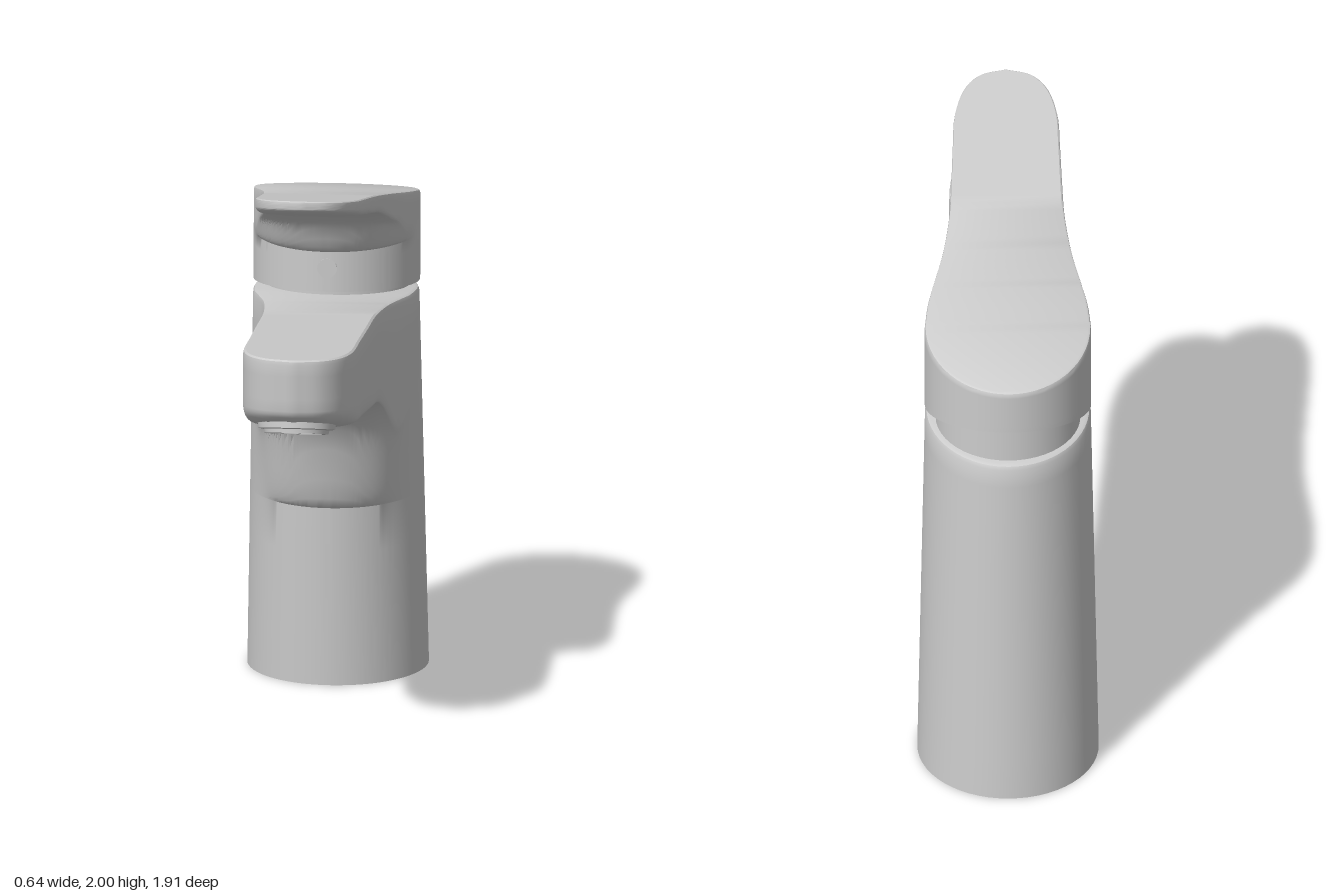
import * as THREE from 'three';
import { toCreasedNormals } from 'three/addons/utils/BufferGeometryUtils.js';

const grey = new THREE.MeshStandardMaterial({ color: 0xcccccc });
const { lerp, smoothstep, clamp, degToRad } = THREE.MathUtils;

function part(parent, name, geometry, x = 0, y = 0, z = 0) {
  const mesh = new THREE.Mesh(geometry, grey);
  mesh.name = name;
  mesh.position.set(x, y, z);
  parent.add(mesh);
  return mesh;
}

// Elliptical column whose front flows through a fillet into a cantilevered arm.
// plan rows: [angle on the column (0 = front), x, z of the arm outline]
function columnWithArm({ ellipse, plan, bottom, top, filletY, filletR, under, edge, bevel, rise, topY }) {
  const onColumn = (angle, y) => {
    const e = ellipse(y);
    return [e.rx * Math.sin(angle), e.z + e.rz * Math.cos(angle)];
  };
  const curve = new THREE.CatmullRomCurve3(plan.map(p => new THREE.Vector3(degToRad(p[0]), p[1], p[2])));

  // Half of the outline: arm side first, then the back of the column
  const half = [];
  const frontSteps = 44, backSteps = 14;
  for (let i = 0; i < frontSteps; i++) {
    const p = curve.getPoint(i / frontSteps);
    const [ex, ez] = onColumn(p.x, topY);
    half.push({ angle: p.x, dx: p.y - ex, dz: p.z - ez });
  }
  for (let i = 0; i <= backSteps; i++) {
    half.push({ angle: Math.PI / 2 * (1 + i / backSteps), dx: 0, dz: 0 });
  }

  const place = (h, y, k) => {
    const [x, z] = onColumn(h.angle, y);
    return [x + h.dx * k, y, z + h.dz * k];
  };
  const underside = (h, k) => {
    const d = Math.max(0, h.dz * k);
    const z = place(h, topY, k)[2];
    const f = Math.sqrt(1 - (1 - Math.min(1, d / filletR)) ** 2);
    const q = clamp((k - 0.75) / 0.25, 0, 1);
    const round = edge * (1 - Math.sqrt(1 - q * q)) * Math.min(1, d / filletR);
    const y = filletY + (under(z) - filletY) * f + round;
    return lerp(filletY + rise * k, y, smoothstep(d, 0, 0.08));
  };

  // Rings: up the column, out along the underside, up the wall, over the bevel
  const rings = [];
  for (let i = 0; i < 4; i++) {
    rings.push(h => place(h, lerp(bottom(onColumn(h.angle, 0)[1]), filletY, i / 4), 0));
  }
  for (let i = 0; i <= 36; i++) {
    const k = smoothstep(i / 36, 0, 1);
    rings.push(h => place(h, underside(h, k), k));
  }
  const rim = h => top(place(h, topY, 1)[2]);
  for (let i = 1; i <= 4; i++) {
    rings.push(h => place(h, lerp(underside(h, 1), rim(h) - bevel, i / 4), 1));
  }
  for (const a of [Math.PI / 4, Math.PI / 2]) {
    rings.push(h => {
      const [x, , z] = place(h, rim(h), 1);
      const s = 1 - bevel * 3 * (1 - Math.cos(a));
      const mid = clamp(z, -0.57, plan[0][2] - 0.2);
      const zi = mid + (z - mid) * s;
      return [x * s, top(zi) - bevel * (1 - Math.sin(a)), zi];
    });
  }

  const m = half.length - 1, n = 2 * m, pos = [], idx = [];
  for (const ring of rings) {
    for (let i = 0; i < n; i++) {
      const [x, y, z] = ring(half[i <= m ? i : n - i]);
      pos.push(i <= m ? x : -x, y, z);
    }
  }
  for (let r = 0; r < rings.length - 1; r++) {
    for (let i = 0; i < n; i++) {
      const a = r * n + i, b = r * n + (i + 1) % n;
      idx.push(a, b, b + n, a, b + n, a + n);
    }
  }
  // Flat caps, joined left to right
  const last = (rings.length - 1) * n;
  for (let i = 0; i < m; i++) {
    const l = (n - i) % n, l2 = n - i - 1;
    if (i > 0) {
      idx.push(last + l, last + i, last + i + 1);
      idx.push(l, i + 1, i);
    }
    if (i < m - 1) {
      idx.push(last + l, last + i + 1, last + l2);
      idx.push(l, l2, i + 1);
    }
  }
  const geometry = new THREE.BufferGeometry();
  geometry.setAttribute('position', new THREE.Float32BufferAttribute(pos, 3));
  geometry.setIndex(idx);
  return toCreasedNormals(geometry, 0.6);
}

export function createModel() {
  const model = new THREE.Group();
  model.name = 'basinTap';

  // Tapered, slightly leaning column with the spout
  part(model, 'bodyAndSpout', columnWithArm({
    ellipse: y => ({ rx: 0.318 - 0.02 * y, rz: 0.3425, z: -0.6125 + 0.046 * y }),
    plan: [[0, 0, 0.955], [8, 0.1, 0.925], [15, 0.165, 0.85], [20, 0.194, 0.74], [25, 0.198, 0.5],
      [32, 0.2, 0.25], [39, 0.202, 0], [47, 0.222, -0.2], [59, 0.254, -0.33], [72, 0.278, -0.42], [90, 0.29, -0.548]],
    bottom: () => 0,
    top: z => 1.4235 + 0.0815 * z,
    filletY: 0.65, filletR: 0.28, under: z => 1.1 + 0.13 * z,
    edge: 0.09, bevel: 0.018, rise: 0.4, topY: 1.4,
  }));

  // Cartridge seen in the gap under the lever
  part(model, 'cartridge', new THREE.CylinderGeometry(0.252, 0.255, 0.25, 48), 0, 1.435, -0.605);

  // Lever cap with its flat, rising handle
  part(model, 'lever', columnWithArm({
    ellipse: () => ({ rx: 0.292, rz: 0.328, z: -0.568 }),
    plan: [[0, 0, 0.662], [8, 0.09, 0.635], [15, 0.148, 0.565], [20, 0.18, 0.45], [26, 0.188, 0.3],
      [33, 0.194, 0.13], [41, 0.202, -0.03], [49, 0.224, -0.2], [60, 0.255, -0.34], [72, 0.279, -0.45], [90, 0.292, -0.568]],
    bottom: z => z < -0.57 ? 1.4 - (z + 0.57) * 0.29 : 1.4 + (z + 0.57) * 0.106,
    top: z => 1.854 + 0.222 * z,
    filletY: 1.58, filletR: 0.28, under: z => 1.79 + 0.23 * z,
    edge: 0.03, bevel: 0.012, rise: 0.03, topY: 1.7,
  }));

  // Small plug in the front of the lever cap
  part(model, 'screwPlug', new THREE.CylinderGeometry(0.035, 0.035, 0.02, 20), 0, 1.52, -0.248).rotation.x = Math.PI / 2;

  // Aerator tilted forward under the spout tip
  const aerator = new THREE.Group();
  aerator.name = 'aerator';
  aerator.position.set(0, 1.215, 0.785);
  aerator.rotation.x = -0.28;
  model.add(aerator);
  const ringProfile = [[0.14, 0.03], [0.135, -0.005], [0.115, -0.008], [0.112, -0.022], [0.095, -0.022], [0.09, 0]]
    .map(([r, y]) => new THREE.Vector2(r, y)).reverse();
  const ring = part(aerator, 'aeratorRing', toCreasedNormals(new THREE.LatheGeometry(ringProfile, 40), 0.5));
  ring.material = new THREE.MeshStandardMaterial({ color: 0xcccccc, side: THREE.DoubleSide });
  part(aerator, 'aeratorPlate', new THREE.CylinderGeometry(0.094, 0.094, 0.02, 32), 0, 0.004, 0);
  for (let i = -4; i <= 4; i++) {
    const offset = i * 0.02, length = 2 * Math.sqrt(0.09 ** 2 - offset ** 2);
    part(aerator, 'aeratorGridBar', new THREE.BoxGeometry(0.005, 0.006, length), offset, -0.008, 0);
    part(aerator, 'aeratorGridBar', new THREE.BoxGeometry(length, 0.006, 0.005), 0, -0.008, offset);
  }
  return model;
}
